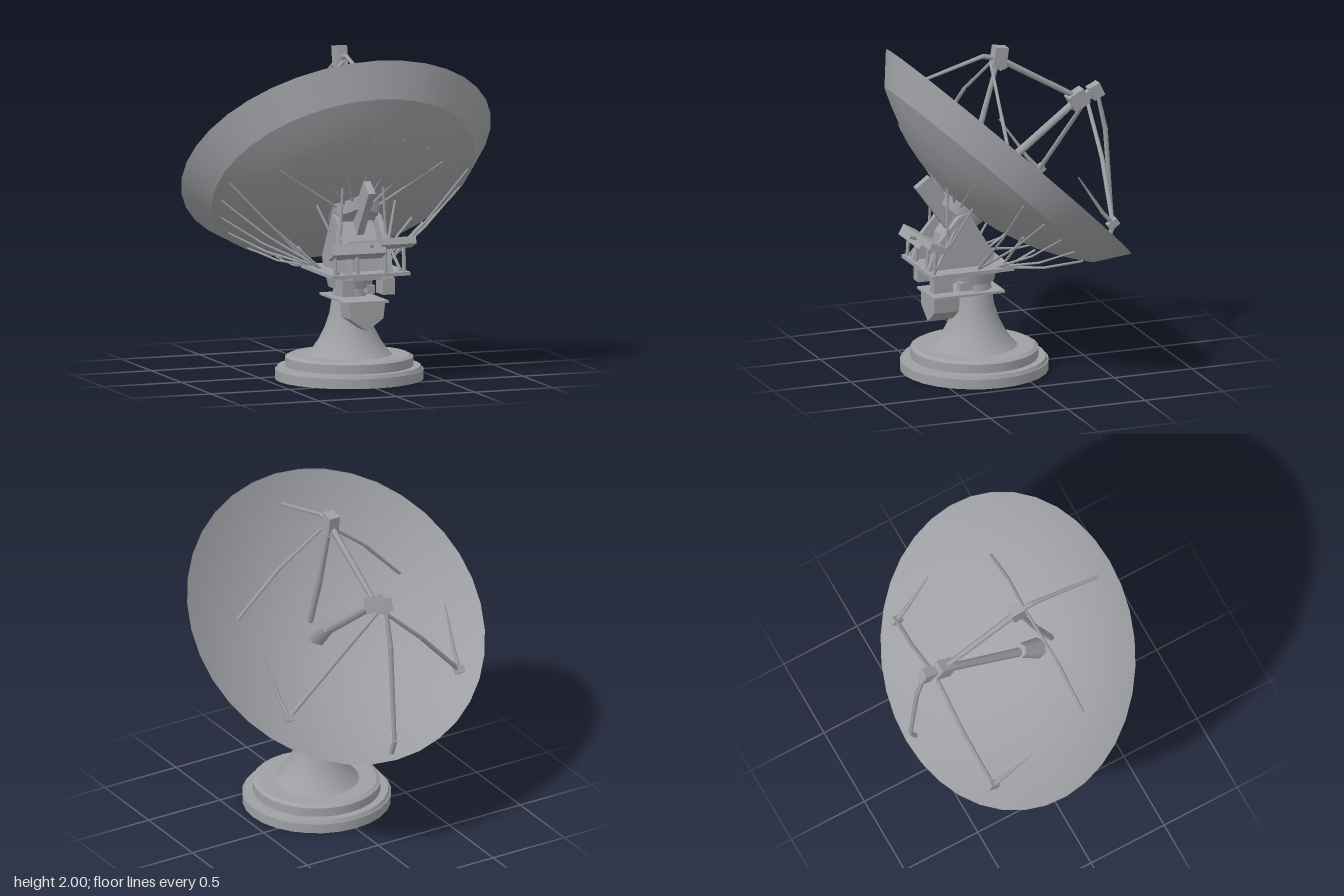
import * as THREE from 'three';

const grey = new THREE.MeshStandardMaterial({ color: 0x9fa0a4, side: THREE.DoubleSide });
grey.name = 'paintedMetal';

const V = (x, y, z) => new THREE.Vector3(x, y, z);
const TILT = -0.76;
const RIM = V(0, 1.33, -0.017);
// dish profiles: radius, depth below the rim plane
const BACK = [[0.001, -0.43], [0.12, -0.424], [0.25, -0.404], [0.38, -0.375], [0.5, -0.34], [0.62, -0.29], [0.72, -0.24], [0.816, -0.185]];
const SKIRT = [[0.816, -0.185], [0.959, 0]];
const LINING = [0.001, 0.15, 0.3, 0.45, 0.6, 0.75, 0.87, 0.956].map(r => [r, -0.325 + 0.352 * r * r]);

function depthAt(r) {
  for (let i = 1; i < BACK.length; i++) {
    const [r0, d0] = BACK[i - 1], [r1, d1] = BACK[i];
    if (r <= r1) return d0 + (d1 - d0) * (r - r0) / (r1 - r0);
  }
  return -0.185;
}

// point on the back of the dish; angle in degrees from the top edge
function onDish(angle, r, off = 0.01) {
  const a = THREE.MathUtils.degToRad(angle);
  return V(r * Math.sin(a), depthAt(r) - off, r * Math.cos(a)).applyAxisAngle(V(1, 0, 0), TILT).add(RIM);
}

export function createModel() {
  const model = new THREE.Group();
  model.name = 'radioDish';

  const add = (name, geometry, x = 0, y = 0, z = 0, rx = 0) => {
    const m = new THREE.Mesh(geometry, grey);
    m.name = name;
    m.position.set(x, y, z);
    m.rotation.x = rx;
    model.add(m);
    return m;
  };
  const box = (name, w, h, d, x, y, z, rx) => add(name, new THREE.BoxGeometry(w, h, d), x, y, z, rx);
  const disc = (name, r0, r1, y0, y1, z, n = 28) => add(name, new THREE.CylinderGeometry(r1, r0, y1 - y0, n), 0, (y0 + y1) / 2, z);
  const strut = (name, a, b, r = 0.012, rEnd = r) => {
    const m = add(name, new THREE.CylinderGeometry(rEnd, r, a.distanceTo(b), 6));
    m.position.copy(a).add(b).multiplyScalar(0.5);
    m.quaternion.setFromUnitVectors(V(0, 1, 0), b.clone().sub(a).normalize());
    return m;
  };
  // side outline (z, y) extruded across x
  const sidePrism = (name, pts, width, x = 0) => {
    const g = new THREE.ExtrudeGeometry(new THREE.Shape(pts.map(p => new THREE.Vector2(...p))), { depth: width, bevelEnabled: false });
    g.translate(0, 0, -width / 2).rotateY(-Math.PI / 2);
    return add(name, g, x);
  };
  const lathe = (name, pts, n, ...arc) => add(name, new THREE.LatheGeometry(pts.map(p => new THREE.Vector2(...p)), n, ...arc));

  // stepped foundation and flared pedestal
  const PZ = 0.205;
  disc('foundationLower', 0.447, 0.447, 0, 0.06, PZ);
  disc('foundationLowerLip', 0.44, 0.43, 0.06, 0.08, PZ);
  disc('foundationUpper', 0.385, 0.385, 0.08, 0.135, PZ);
  disc('foundationUpperLip', 0.38, 0.36, 0.135, 0.148, PZ);
  lathe('pedestal', [[0.26, 0.145], [0.226, 0.18], [0.185, 0.24], [0.15, 0.31], [0.12, 0.4], [0.105, 0.5], [0.09, 0.58]], 24).position.z = PZ;
  disc('azimuthCollar', 0.13, 0.15, 0.56, 0.645, 0.215, 20);

  // service platform and hanging machinery
  box('lowerPlate', 0.27, 0.015, 0.46, 0, 0.5, 0.29);
  const shield = new THREE.Shape([[-0.115, 0.49], [-0.105, 0.4], [0, 0.325], [0.105, 0.4], [0.115, 0.49]].map(p => new THREE.Vector2(...p)));
  add('counterweight', new THREE.ExtrudeGeometry(shield, { depth: 0.16, bevelEnabled: false }), 0, 0, 0.345);
  for (const s of [-1, 1]) {
    box('motorBox', 0.075, 0.1, 0.12, s * 0.13, 0.595, 0.47);
    box('motorFoot', 0.05, 0.05, 0.08, s * 0.09, 0.55, 0.3);
  }
  box('deck', 0.5, 0.022, 0.53, 0, 0.672, 0.31);
  box('deckUnderframe', 0.34, 0.03, 0.4, 0, 0.648, 0.3);
  box('drivePod', 0.34, 0.07, 0.09, -0.08, 0.82, 0.54, -0.5);
  box('controlCabinet', 0.22, 0.045, 0.1, 0.17, 0.86, 0.55, -0.4);
  for (const x of [-0.22, -0.08, 0.1, 0.22]) strut('podLeg', V(x, 0.68, 0.55), V(x, 0.83, 0.54), 0.012);
  strut('railArm', V(0, 0.83, 0.52), V(0, 0.87, 0.62), 0.012);

  // elevation yoke, two cheeks and a raised drive arm
  const cheek = [[0.56, 0.68], [0.5, 0.84], [0.36, 1.0], [0.3, 1.02], [0.13, 0.74], [0.16, 0.68]];
  for (const s of [-1, 1]) sidePrism('yokeCheek', cheek, 0.035, s * 0.13);
  sidePrism('yokeCore', [[0.46, 0.68], [0.42, 0.86], [0.33, 0.97], [0.2, 0.8], [0.2, 0.68]], 0.2);
  sidePrism('driveArm', [[0.59, 1.17], [0.5, 1.235], [0.3, 0.98], [0.36, 0.85], [0.43, 0.95]], 0.045);

  // reflector: smooth back, angled skirt, shallower lining and a raised fan panel
  const fan = BACK.slice(1, 6).map(([r, d]) => [r, d - 0.01]);
  const dishParts = [
    lathe('dishBack', BACK, 36),
    lathe('dishSkirt', SKIRT, 36),
    lathe('dishLining', LINING, 36),
    lathe('dishFanPanel', fan, 8, -0.87, 1.74),
  ];
  for (const m of dishParts) {
    m.position.copy(RIM);
    m.rotation.x = TILT;
  }
  strut('dishHub', onDish(0, 0.001, 0.07), onDish(0, 0.001, -0.005), 0.14, 0.17);

  // back ribs and bracing
  for (let a = -60; a <= 60; a += 20) {
    strut('backRib', onDish(a, 0.15, 0.025), onDish(a, 0.6, 0.01), 0.008, 0.004);
  }
  for (const s of [-1, 1]) {
    for (const a of [84, 98, 112, 126, 144, 162]) {
      const root = V(s * 0.2, 0.68, a < 100 ? 0.26 : 0.14);
      const tip = onDish(s * a, 0.77);
      const elbow = root.clone().lerp(tip, 0.55).add(V(0, -0.025, 0));
      strut('truss', root, elbow, 0.009, 0.007);
      strut('truss', elbow, tip, 0.007, 0.005);
    }
    for (const a of [115, 155]) strut('innerTruss', V(s * 0.17, 0.64, 0.12), onDish(s * a, 0.5), 0.008);
    for (const a of [30, 75]) strut('upperBrace', V(s * 0.15, 0.8, 0.44), onDish(s * a, 0.26), 0.01, 0.007);
    strut('frontBrace', V(s * 0.2, 0.69, 0.54), V(s * 0.13, 0.97, 0.35), 0.01);
  }

  // upper and lower receiver housings above the bowl
  const upper = V(0, 1.92, 0.05), lower = V(0, 1.615, -0.47);
  box('upperHousing', 0.07, 0.12, 0.085, 0, 1.935, 0.045, -0.15);
  box('upperHousingCap', 0.05, 0.03, 0.06, 0, 1.98, 0.04, -0.15);
  box('upperHousingFoot', 0.05, 0.04, 0.05, 0, 1.875, 0.03, 0.3);
  box('lowerHousing', 0.08, 0.1, 0.11, 0, 1.61, -0.46, 0.5);
  box('housingNeck', 0.045, 0.05, 0.08, 0, 1.63, -0.53, 0.5);
  box('lowerHousingHead', 0.065, 0.085, 0.075, 0, 1.65, -0.575, 0.45);
  strut('housingLink', upper, lower, 0.02, 0.017);

  // feed mast and horn in the bowl
  strut('feedMast', lower, V(0, 1.18, 0.1), 0.024, 0.028);
  strut('feedHorn', V(0, 1.225, 0.07), V(0, 1.11, 0.19), 0.045, 0.065);
  strut('upperMast', upper, V(0, 1.5, 0.17), 0.014, 0.02);
  strut('upperMast', V(0, 1.5, 0.17), V(0, 1.17, 0.28), 0.022, 0.02);

  // support legs along the centre line
  strut('topLeg', upper, V(0, 1.945, 0.15), 0.016);
  strut('topLeg', V(0, 1.945, 0.15), V(0, 1.82, 0.6), 0.014, 0.01);
  strut('bottomLeg', V(0, 1.65, -0.585), V(0, 1.4, -0.64), 0.012, 0.016);
  strut('bottomLeg', V(0, 1.4, -0.64), V(0, 0.78, -0.685), 0.016, 0.013);
  strut('bottomLegFoot', V(0, 0.79, -0.69), V(0, 0.69, -0.65), 0.016);

  // mirrored side legs with knuckles and hooked tips
  for (const s of [-1, 1]) {
    strut('upperSideLeg', V(0, 1.9, 0.1), V(s * 0.3, 1.66, 0.15), 0.01);
    strut('upperSideLeg', V(s * 0.3, 1.66, 0.15), V(s * 0.57, 1.38, 0.18), 0.012, 0.01);
    const knuckle = V(s * 0.6, 1.0, -0.45);
    strut('lowerSideLeg', V(0, 1.6, -0.52), V(s * 0.3, 1.32, -0.5), 0.012, 0.014);
    strut('lowerSideLeg', V(s * 0.3, 1.32, -0.5), knuckle, 0.014);
    box('legKnuckle', 0.04, 0.045, 0.07, knuckle.x, knuckle.y, knuckle.z, 0.6);
    strut('legHook', knuckle, V(s * 0.61, 1.08, -0.38), 0.014, 0.012);
    strut('legHook', V(s * 0.61, 1.08, -0.38), V(s * 0.645, 1.33, -0.21), 0.012, 0.004);
  }
  return model;
}
